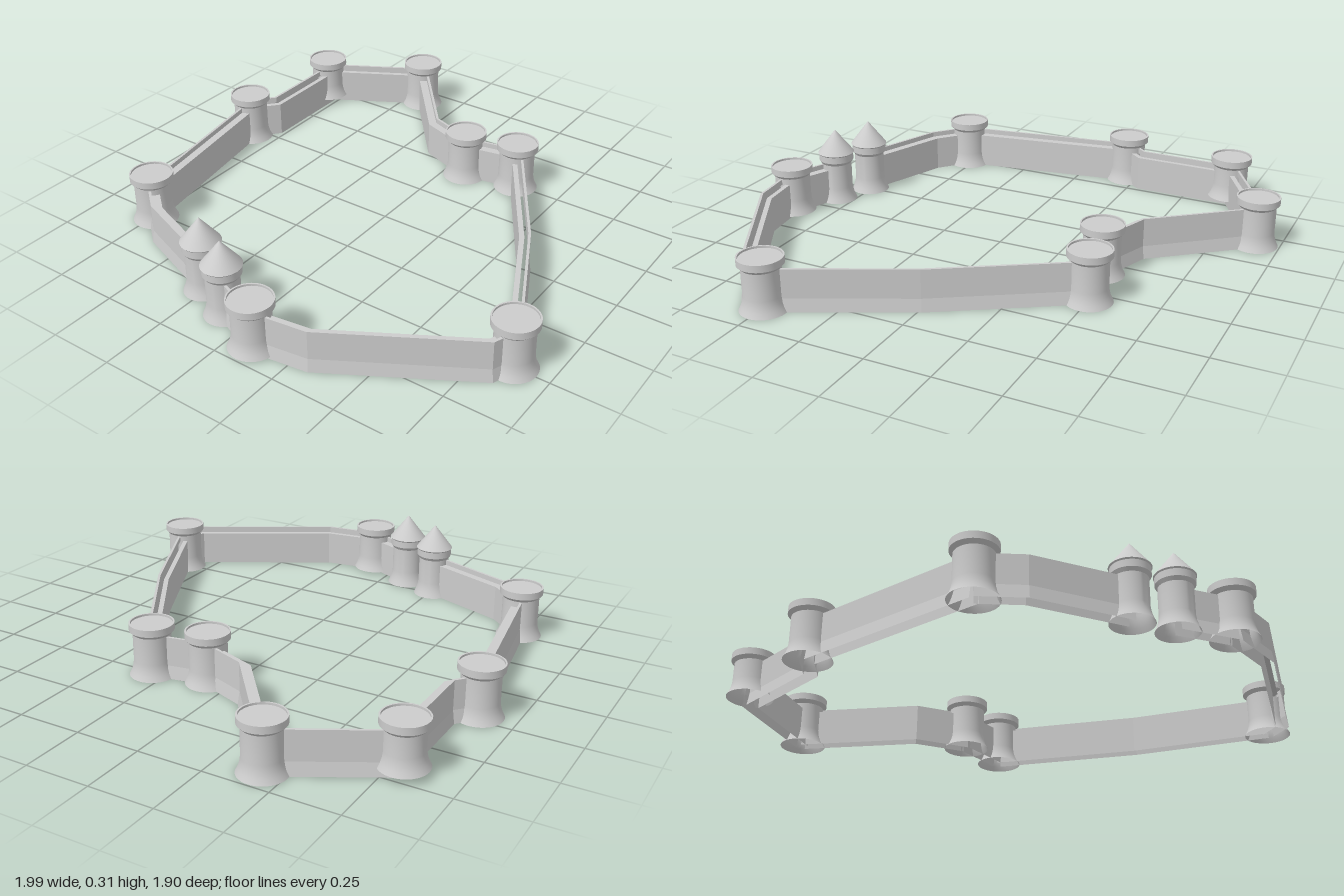
import * as THREE from 'three';
import { toCreasedNormals } from 'three/addons/utils/BufferGeometryUtils.js';

const stone = new THREE.MeshStandardMaterial({ color: 0xcccccc, side: THREE.DoubleSide });
stone.name = 'pale stone';

const V = (a) => a.map(([x, y]) => new THREE.Vector2(x, y));

// Round shell with an open bottom
function lathe(profile, name) {
  const mesh = new THREE.Mesh(toCreasedNormals(new THREE.LatheGeometry(V(profile), 40), 0.6), stone);
  mesh.name = name;
  return mesh;
}

// Tower with flared foot, projecting cap and sunken platform
function tower(x, z, base = 0) {
  const t = lathe([
    [0.089, base], [0.08, base + 0.018], [0.074, base + 0.038], [0.071, base + 0.06],
    [0.071, 0.165], [0.084, 0.178], [0.084, 0.205], [0.078, 0.205], [0.078, 0.197], [0, 0.197],
  ], 'tower');
  t.position.set(x, 0, z);
  return t;
}

// Slimmer gate tower with a pointed roof
function gateTower(x, z) {
  const g = new THREE.Group();
  g.name = 'gateTower';
  g.add(lathe([
    [0.079, 0], [0.071, 0.018], [0.065, 0.038], [0.062, 0.06],
    [0.062, 0.165], [0.071, 0.178], [0.071, 0.205],
  ], 'gateTowerBody'));
  g.add(lathe([[0.071, 0.205], [0.075, 0.21], [0, 0.307]], 'coneRoof'));
  g.position.set(x, 0, z);
  return g;
}

// Cross-section strips: [outward offset, height]
const outerSkin = [[0.011, 0.14], [0.011, 0.162], [0.021, 0.162], [0.021, 0.05], [0.029, 0]];
const solid = [[[-0.021, 0], [-0.021, 0.142], [0.011, 0.142]], outerSkin];
const slotted = [[[-0.021, 0], [-0.021, 0.142], [-0.002, 0.142]], outerSkin];

// Sweeps the strips along a path of [x, z] points with mitred corners
function wall(path, strips) {
  const pts = V(path);
  const dirs = pts.slice(1).map((p, i) => p.clone().sub(pts[i]).normalize());
  const outward = pts.map((p, i) => {
    const a = dirs[Math.max(i - 1, 0)], b = dirs[Math.min(i, dirs.length - 1)];
    const n = new THREE.Vector2(a.y + b.y, -a.x - b.x).normalize();
    return n.multiplyScalar(1 / (n.x * b.y - n.y * b.x));
  });
  const at = (i, [o, y]) => [pts[i].x + outward[i].x * o, y, pts[i].y + outward[i].y * o];
  const pos = [];
  for (let i = 0; i < pts.length - 1; i++) {
    for (const s of strips) {
      for (let j = 0; j < s.length - 1; j++) {
        const a0 = at(i, s[j]), a1 = at(i, s[j + 1]);
        const b0 = at(i + 1, s[j]), b1 = at(i + 1, s[j + 1]);
        pos.push(...a0, ...b0, ...b1, ...a0, ...b1, ...a1);
      }
    }
  }
  const geo = new THREE.BufferGeometry();
  geo.setAttribute('position', new THREE.Float32BufferAttribute(pos, 3));
  geo.computeVertexNormals();
  const mesh = new THREE.Mesh(geo, stone);
  mesh.name = 'curtainWall';
  return mesh;
}

export function createModel() {
  const model = new THREE.Group();
  model.name = 'cityWall';

  // Towers, clockwise from the north-west
  [
    [-0.52, -0.74], [0.21, -0.865], [0.69, -0.805, 0.03], [0.905, -0.42],
    [0.46, 0.085], [0.5, 0.305], [-0.495, 0.86], [-0.91, 0.095, 0.008],
  ].forEach((t) => model.add(tower(...t)));
  model.add(gateTower(-0.76, -0.26), gateTower(-0.825, -0.105));

  // Walls between the towers, all running clockwise
  [
    [[[-0.52, -0.735], [0.21, -0.855]], solid],
    [[[0.21, -0.865], [0.3, -0.787], [0.69, -0.787]], slotted],
    [[[0.69, -0.805], [0.905, -0.42]], slotted],
    [[[0.905, -0.42], [0.535, -0.12], [0.46, 0.085]], solid],
    [[[0.46, 0.085], [0.5, 0.305]], solid],
    [[[0.5, 0.305], [0, 0.62], [-0.495, 0.86]], slotted],
    [[[-0.495, 0.86], [-0.585, 0.825], [-0.88, 0.315], [-0.91, 0.095]], slotted],
    [[[-0.91, 0.095], [-0.825, -0.105]], solid],
    [[[-0.76, -0.26], [-0.63, -0.61], [-0.52, -0.74]], solid],
  ].forEach((w) => model.add(wall(...w)));

  return model;
}
